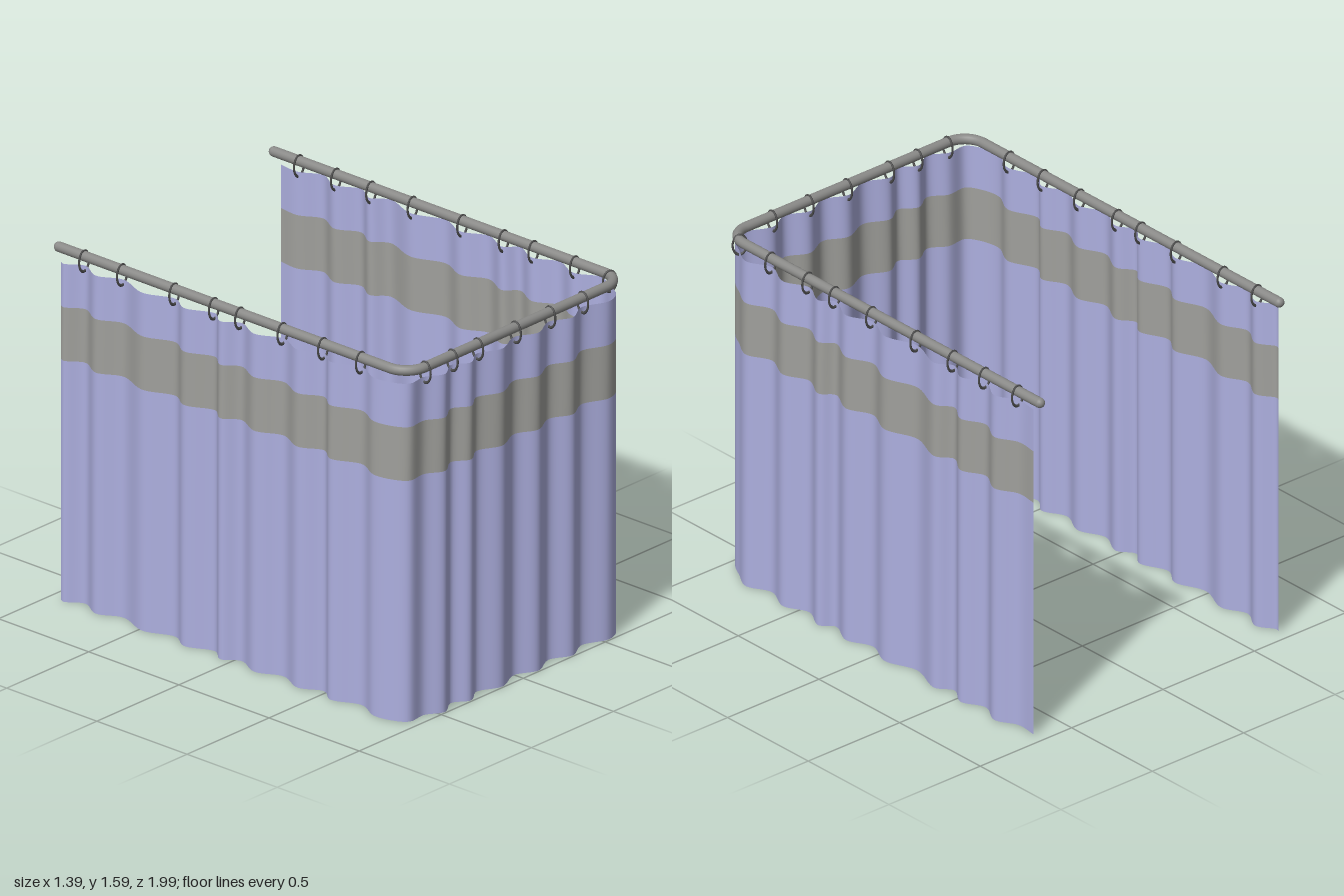
import * as THREE from 'three';

const RAIL_X = 0.655, RAIL_Z = 0.957, RAIL_Y = 1.562, RAIL_R = 0.022, BEND = 0.1;
const TOP = 1.515, BAND_TOP = 1.32, BAND_BOTTOM = 1.08;

const material = (color, side = THREE.FrontSide) =>
  new THREE.MeshStandardMaterial({ color, side });

const v = (x, z, y = 0) => new THREE.Vector3(x, y, z);

// Ring positions along each straight run, and the fold crests between them
const rightRings = [-0.84, -0.635, -0.44, -0.21, 0.065, 0.295, 0.46, 0.69];
const rightFolds = [-0.74, -0.53, -0.37, -0.06, 0.18, 0.35, 0.57, 0.80];
const frontRings = [0.41, 0.21, 0, -0.23, -0.385, -0.55];
const frontFolds = [0.31, 0.10, -0.12, -0.31, -0.47];
const leftRings = [0.695, 0.485, 0.26, 0.025, -0.12, -0.34, -0.63, -0.84];
const leftFolds = [0.56, 0.38, 0.14, -0.05, -0.25, -0.48, -0.74, -0.92];

// U-shaped rail with rounded corners
function railPath() {
  const path = new THREE.CurvePath();
  const y = RAIL_Y, back = -1 + RAIL_R, x = RAIL_X, z = RAIL_Z;
  const k = BEND * 0.448; // handle distance from the corner for a round bend
  path.add(new THREE.LineCurve3(v(x, back, y), v(x, z - BEND, y)));
  path.add(new THREE.CubicBezierCurve3(v(x, z - BEND, y), v(x, z - k, y), v(x - k, z, y), v(x - BEND, z, y)));
  path.add(new THREE.LineCurve3(v(x - BEND, z, y), v(BEND - x, z, y)));
  path.add(new THREE.CubicBezierCurve3(v(BEND - x, z, y), v(k - x, z, y), v(-x, z - k, y), v(-x, z - BEND, y)));
  path.add(new THREE.LineCurve3(v(-x, z - BEND, y), v(-x, back, y)));
  return path;
}

// Plan outline of the cloth: in at each ring, out at each fold
function clothCurve() {
  const inX = 0.647, outX = 0.693, inZ = 0.95, outZ = 0.993;
  const points = [v(0.655, -0.94)];
  rightRings.forEach((z, i) => points.push(v(inX, z), v(outX, rightFolds[i])));
  points.push(v(0.65, 0.89), v(0.605, 0.965), v(0.53, outZ));
  frontRings.forEach((x, i) => {
    points.push(v(x, inZ));
    if (i < frontFolds.length) points.push(v(frontFolds[i], outZ));
  });
  points.push(v(-0.64, 0.952), v(-0.68, 0.89), v(-outX, 0.80));
  leftRings.forEach((z, i) => {
    points.push(v(-inX, z), v(-outX, leftFolds[i]));
  });
  points.push(v(-0.685, -0.94));
  return new THREE.CatmullRomCurve3(points, false, 'centripetal');
}

// Horizontal strip of cloth between two heights
function clothStrip(name, plan, y0, y1, mat) {
  const steps = plan.length - 1;
  const geometry = new THREE.PlaneGeometry(1, 1, steps, 1);
  const position = geometry.attributes.position;
  for (let i = 0; i < position.count; i++) {
    const p = plan[steps - (i % (steps + 1))];
    position.setXYZ(i, p.x, i <= steps ? y1 : y0, p.z);
  }
  geometry.computeVertexNormals();
  const mesh = new THREE.Mesh(geometry, mat);
  mesh.name = name;
  return mesh;
}

export function createModel() {
  const model = new THREE.Group();
  model.name = 'curtainOnRail';

  // Rail with round ends
  const metal = material(0x8a8a88);
  const rail = new THREE.Group();
  rail.name = 'rail';
  const tube = new THREE.Mesh(new THREE.TubeGeometry(railPath(), 300, RAIL_R, 16), metal);
  tube.name = 'railTube';
  rail.add(tube);
  for (const side of [1, -1]) {
    const cap = new THREE.Mesh(new THREE.SphereGeometry(RAIL_R, 16, 12), metal);
    cap.name = 'railEnd';
    cap.position.set(side * RAIL_X, RAIL_Y, -1 + RAIL_R);
    rail.add(cap);
  }
  model.add(rail);

  // Curtain in three strips
  const plan = clothCurve().getSpacedPoints(420);
  const cloth = material(0xadafdf, THREE.DoubleSide);
  const bandCloth = material(0xa0a09c, THREE.DoubleSide);
  const curtain = new THREE.Group();
  curtain.name = 'curtain';
  curtain.add(
    clothStrip('curtainLower', plan, 0, BAND_BOTTOM, cloth),
    clothStrip('curtainBand', plan, BAND_BOTTOM, BAND_TOP, bandCloth),
    clothStrip('curtainTop', plan, BAND_TOP, TOP, cloth),
  );
  model.add(curtain);

  // Oval hanging rings, each turned square to the rail
  const ringMetal = material(0x4c4c4c);
  const ringGeometry = new THREE.TorusGeometry(0.03, 0.0045, 8, 28);
  ringGeometry.scale(1, 1.52, 1);
  const rings = new THREE.Group();
  rings.name = 'rings';
  const addRing = (x, z, turn) => {
    const ring = new THREE.Mesh(ringGeometry, ringMetal);
    ring.name = 'ring';
    ring.position.set(x, 1.538, z);
    ring.rotation.y = turn;
    rings.add(ring);
  };
  rightRings.forEach((z) => addRing(RAIL_X, z, 0));
  leftRings.forEach((z) => addRing(-RAIL_X, z, 0));
  frontRings.forEach((x) => addRing(x, RAIL_Z, Math.PI / 2));
  addRing(0.645, 0.893, -0.5);
  model.add(rings);

  return model;
}
